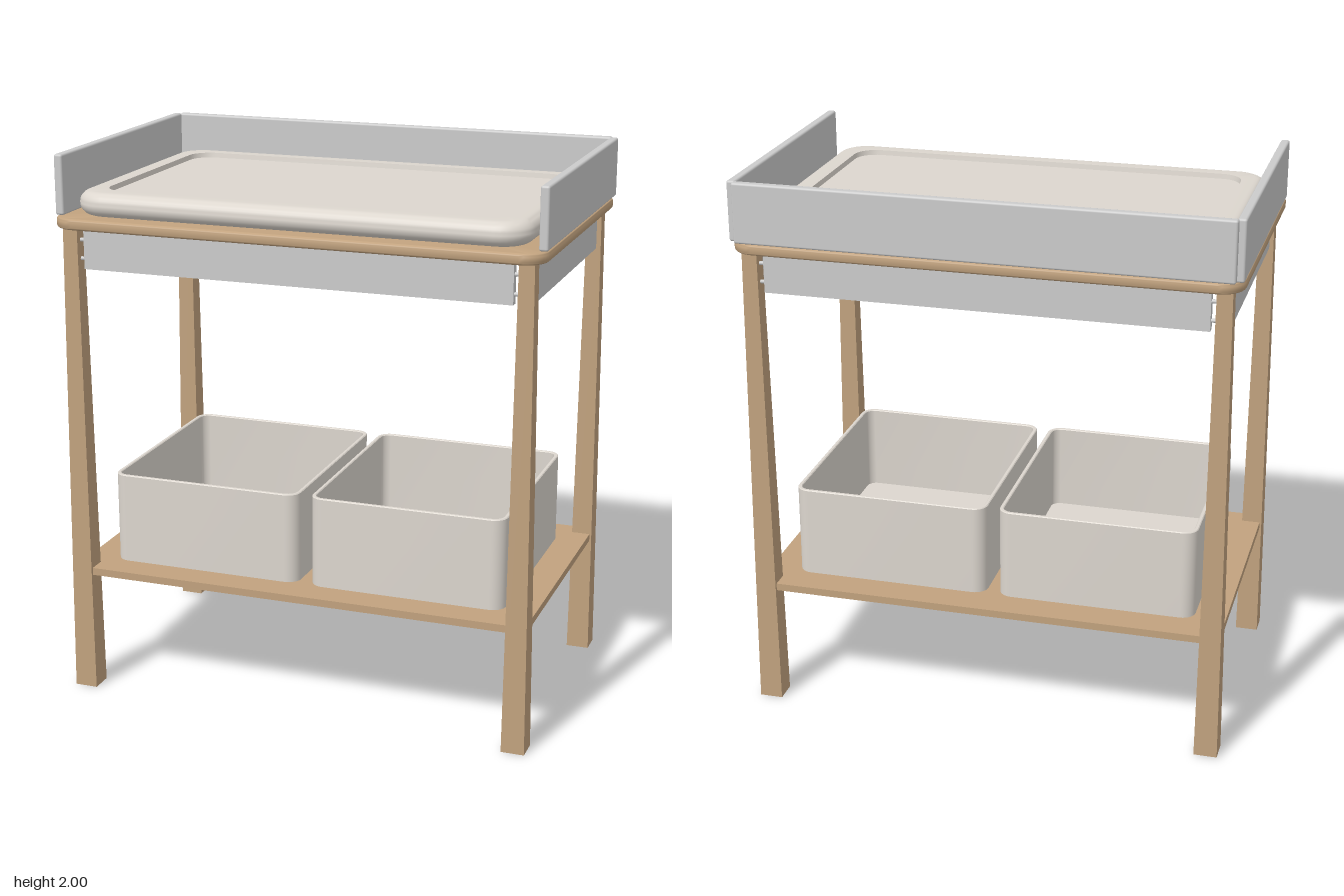
import * as THREE from 'three';
import { toCreasedNormals } from 'three/addons/utils/BufferGeometryUtils.js';
import { RoundedBoxGeometry } from 'three/addons/geometries/RoundedBoxGeometry.js';

const grey = new THREE.MeshStandardMaterial({ color: 0xcccccc });
const wood = new THREE.MeshStandardMaterial({ color: 0xc1a27e });
const fabric = new THREE.MeshStandardMaterial({ color: 0xdcd6ce });

// Closed solid from rounded-rectangle rings; each profile entry is [halfWidth, y, halfDepth, radius]
function loft(profile, steps = 8) {
  const pos = [], idx = [], n = 4 * (steps + 1);
  for (const [hw, y, hd, r] of profile) {
    for (let c = 0; c < 4; c++) {
      const sx = c === 0 || c === 3 ? 1 : -1, sz = c < 2 ? -1 : 1;
      for (let s = 0; s <= steps; s++) {
        const a = (c + s / steps) * Math.PI / 2;
        pos.push(sx * (hw - r) + r * Math.cos(a), y, sz * (hd - r) - r * Math.sin(a));
      }
    }
  }
  const last = profile.length - 1;
  for (let i = 0; i < last; i++) {
    for (let j = 0; j < n; j++) {
      const k = (j + 1) % n;
      const a = i * n + j, b = i * n + k, c = (i + 1) * n + k, d = (i + 1) * n + j;
      idx.push(a, b, c, a, c, d);
    }
  }
  const bottom = pos.length / 3, top = bottom + 1;
  pos.push(0, profile[0][1], 0, 0, profile[last][1], 0);
  for (let j = 0; j < n; j++) {
    const k = (j + 1) % n;
    idx.push(bottom, k, j, top, last * n + j, last * n + k);
  }
  const g = new THREE.BufferGeometry();
  g.setAttribute('position', new THREE.Float32BufferAttribute(pos, 3));
  g.setIndex(idx);
  return toCreasedNormals(g, 0.7);
}

// Half-round or quarter-round edge: rings around an arc from angle a0 to a1
function edge(hw, hd, r, bevel, y, a0, a1, steps = 6) {
  return Array.from({ length: steps + 1 }, (_, i) => {
    const a = a0 + (a1 - a0) * i / steps, inset = bevel * (1 - Math.cos(a));
    return [hw - inset, y + bevel * Math.sin(a), hd - inset, r - inset];
  });
}

export function createModel() {
  const model = new THREE.Group();
  const add = (name, geo, mat, x = 0, y = 0, z = 0) => {
    const m = new THREE.Mesh(geo, mat);
    m.name = name;
    m.position.set(x, y, z);
    model.add(m);
    return m;
  };
  const Q = Math.PI / 2;

  // Table top with softened edges
  add('tableTop', loft([
    ...edge(0.89, 0.551, 0.085, 0.012, 1.757, -Q, 0),
    ...edge(0.89, 0.551, 0.085, 0.012, 1.773, 0, Q),
  ]), wood);

  // Changing mat: round rim and a sunken middle
  add('mat', loft([
    ...edge(0.825, 0.505, 0.115, 0.043, 1.83, -Q, Q, 14),
    [0.738, 1.873, 0.42, 0.08],
    [0.735, 1.855, 0.417, 0.077],
  ]), fabric, 0, 0, 0.013);

  // Guard panels on three sides
  add('backPanel', new RoundedBoxGeometry(1.73, 0.215, 0.032, 3, 0.008), grey, 0, 1.8925, -0.537);
  for (const s of [-1, 1]) {
    add('sidePanel', new RoundedBoxGeometry(0.032, 0.215, 1.026, 3, 0.008), grey, s * 0.874, 1.8925, -0.017);
  }

  // Tapered square legs
  const legX = 0.826, legZ = 0.488;
  const legGeo = new THREE.CylinderGeometry(0.027 * Math.SQRT2, 0.042 * Math.SQRT2, 1.75, 4).toNonIndexed();
  legGeo.rotateY(Math.PI / 4);
  legGeo.computeVertexNormals();
  for (const sx of [-1, 1]) for (const sz of [-1, 1]) add('leg', legGeo, wood, sx * legX, 0.875, sz * legZ);

  // Aprons under the top, their dowels into the legs, and fixing screws
  const dowelX = new THREE.CylinderGeometry(0.007, 0.007, 0.04, 12).rotateZ(Q);
  const dowelZ = new THREE.CylinderGeometry(0.007, 0.007, 0.04, 12).rotateX(Q);
  const screw = new THREE.CylinderGeometry(0.004, 0.007, 0.04, 10);
  for (const s of [-1, 1]) {
    add('longApron', new THREE.BoxGeometry(1.56, 0.147, 0.03), grey, 0, 1.6735, s * legZ);
    add('shortApron', new THREE.BoxGeometry(0.03, 0.147, 0.884), grey, s * legX, 1.6735, 0);
    for (const e of [-1, 1]) {
      for (const y of [1.635, 1.702]) {
        add('dowel', dowelX, grey, e * 0.788, y, s * legZ);
        add('dowel', dowelZ, grey, s * legX, y, e * 0.453);
      }
      add('screw', screw, grey, e * 0.4, 1.727, s * (legZ - 0.024));
      add('screw', screw, grey, s * (legX - 0.024), 1.727, e * 0.22);
    }
  }

  // Lower shelf, notched around the legs
  const X = 0.857, Z = 0.518, nx = 0.787, nz = 0.449;
  const outline = [[nx, Z], [nx, nz], [X, nz], [X, -nz], [nx, -nz], [nx, -Z],
    [-nx, -Z], [-nx, -nz], [-X, -nz], [-X, nz], [-nx, nz], [-nx, Z]];
  const shelf = new THREE.ExtrudeGeometry(
    new THREE.Shape(outline.map(([x, z]) => new THREE.Vector2(x, z))), { depth: 0.027, bevelEnabled: false });
  add('shelf', shelf.rotateX(-Q), wood, 0, 0.447, 0);

  // Two open storage bins
  const binGeo = loft([
    [0.361, 0, 0.405, 0.05],
    [0.361, 0.332, 0.405, 0.05],
    [0.358, 0.335, 0.402, 0.047],
    [0.349, 0.335, 0.393, 0.038],
    [0.346, 0.332, 0.39, 0.035],
    [0.346, 0.015, 0.39, 0.035],
  ]);
  for (const s of [-1, 1]) add('storageBin', binGeo, fabric, s * 0.384, 0.475, 0.003);

  return model;
}
